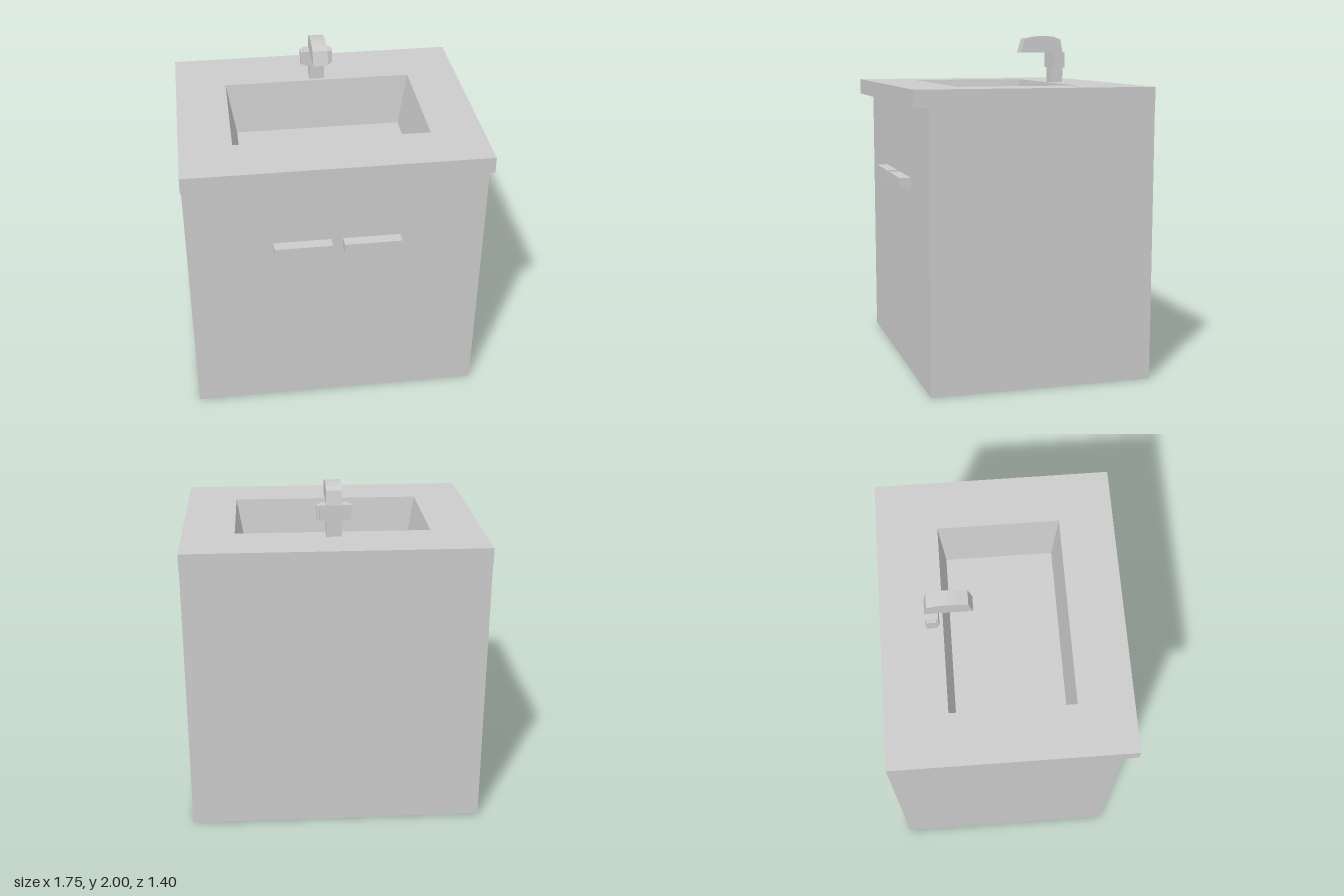
import * as THREE from 'three';

const material = new THREE.MeshStandardMaterial({ color: 0xcccccc, flatShading: true });

// Skin through rectangles [halfWidth, zBack, zFront, y], listed along the surface.
function rectLoft(rings, capStart, capEnd) {
  const corners = rings.map(([w, zb, zf, y]) => [
    new THREE.Vector3(-w, y, zf), new THREE.Vector3(w, y, zf),
    new THREE.Vector3(w, y, zb), new THREE.Vector3(-w, y, zb),
  ]);
  const points = [];
  const tri = (a, b, c) => {
    if (new THREE.Triangle(a, b, c).getArea() > 1e-7) points.push(a, b, c);
  };
  const quad = (a, b, c, d) => { tri(a, b, c); tri(a, c, d); };
  for (let r = 0; r < corners.length - 1; r++) {
    const low = corners[r], up = corners[r + 1];
    for (let i = 0; i < 4; i++) {
      const j = (i + 1) % 4;
      quad(low[i], low[j], up[j], up[i]);
    }
  }
  if (capStart) quad(...[...corners[0]].reverse());
  if (capEnd) quad(...corners[corners.length - 1]);
  const geometry = new THREE.BufferGeometry().setFromPoints(points);
  geometry.computeVertexNormals();
  return geometry;
}

function add(parent, name, geometry, x = 0, y = 0, z = 0) {
  const mesh = new THREE.Mesh(geometry, material);
  mesh.name = name;
  mesh.position.set(x, y, z);
  parent.add(mesh);
  return mesh;
}

export function createModel() {
  const group = new THREE.Group();
  group.name = 'vanityUnit';

  const bodyTop = [0.872, -0.70, 0.613, 1.613];
  const rim = [0.57, -0.34, 0.38, 1.71];

  // Cabinet body, open at the top under the counter
  add(group, 'cabinet', rectLoft([[0.867, -0.70, 0.613, 0], bodyTop], true, false));

  // Countertop: front overhang, edge and top surface around the basin opening
  add(group, 'countertop', rectLoft([
    bodyTop,
    [0.875, -0.70, 0.70, 1.613],
    [0.875, -0.70, 0.70, 1.71],
    rim,
  ], false, false));

  // Recessed basin with sloping walls and a flat floor
  add(group, 'basin', rectLoft([rim, [0.515, -0.305, 0.343, 1.39]], false, true));

  // Pair of bar pulls on the front
  for (const side of [-1, 1]) {
    add(group, side < 0 ? 'rightPull' : 'leftPull',
      new THREE.BoxGeometry(0.336, 0.065, 0.07), side * 0.203, 1.143, 0.645);
  }

  // Faucet
  const faucet = new THREE.Group();
  faucet.name = 'faucet';
  group.add(faucet);
  const stemZ = -0.398;
  add(faucet, 'stem', new THREE.BoxGeometry(0.09, 0.19, 0.075), 0, 1.802, stemZ);

  // Side knobs with a smaller end plate
  for (const side of [-1, 1]) {
    add(faucet, 'knob', new THREE.BoxGeometry(0.037, 0.092, 0.075), side * 0.0635, 1.85, stemZ);
    add(faucet, 'knobEnd', new THREE.BoxGeometry(0.016, 0.08, 0.058), side * 0.09, 1.85, stemZ);
  }

  // Spout: arched side profile (z, y) extruded across the width
  const profile = [
    [-0.163, 1.895], [-0.188, 1.982], [-0.25, 1.995], [-0.305, 2.0],
    [-0.37, 1.995], [-0.42, 1.978], [-0.436, 1.895],
  ];
  const shape = new THREE.Shape(profile.map(([z, y]) => new THREE.Vector2(-z, y)));
  const spout = new THREE.ExtrudeGeometry(shape, { depth: 0.09, bevelEnabled: false });
  spout.translate(0, 0, -0.045).rotateY(Math.PI / 2);
  add(faucet, 'spout', spout);

  return group;
}
